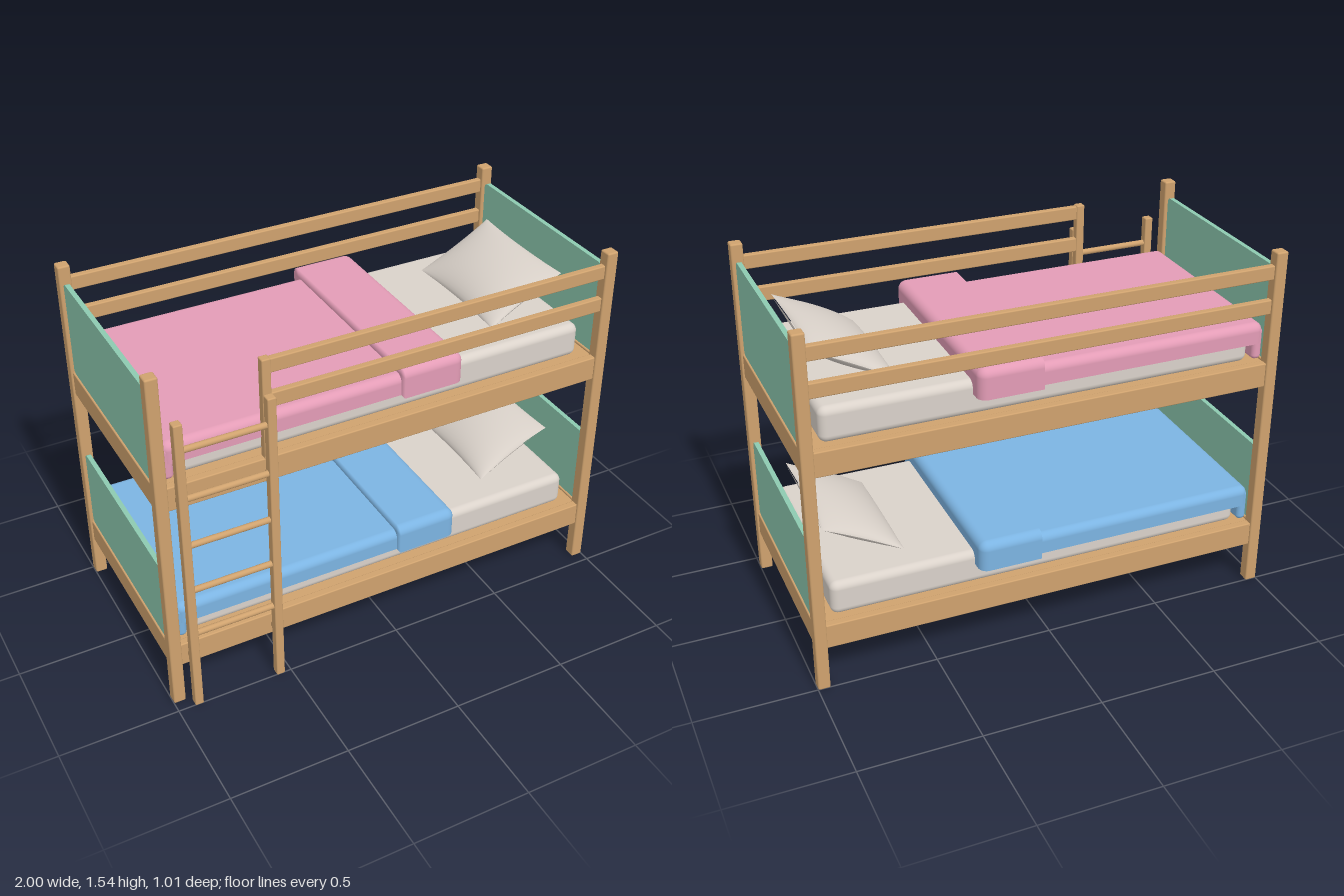
import * as THREE from 'three';
import { RoundedBoxGeometry } from 'three/addons/geometries/RoundedBoxGeometry.js';

const FRONT = 0.43, BACK = -0.48, END = 0.9745, MID = -0.025, LEVEL = 0.77;

const material = (name, color) => {
  const m = new THREE.MeshStandardMaterial({ color });
  m.name = name;
  return m;
};

export function createModel() {
  const wood = material('wood', 0xcfa26e);
  const green = material('panel green', 0x8dcab0);
  const linen = material('linen', 0xdad2ca);
  const pink = material('pink fabric', 0xe39cb6);
  const blue = material('blue fabric', 0x7cb4e2);
  const model = new THREE.Group();
  model.name = 'bunkBed';

  const add = (parent, name, geometry, mat) => {
    const mesh = new THREE.Mesh(geometry, mat);
    mesh.name = name;
    parent.add(mesh);
    return mesh;
  };

  // Softly rounded block between two corners
  const block = (parent, name, mat, a, b, r = 0.005, segments = 2) => {
    const size = b.map((v, i) => v - a[i]);
    const mesh = add(parent, name, new RoundedBoxGeometry(...size, segments, r), mat);
    mesh.position.set(...a.map((v, i) => (v + b[i]) / 2));
    return mesh;
  };

  // Cloth block with rounded upper edges and a flat underside; cutX also squares its -x end
  const drape = (parent, name, mat, a, b, r, cutX) => {
    const low = [cutX ? a[0] - 2 * r : a[0], a[1] - 2 * r, a[2]];
    const mesh = block(parent, name, mat, low, b, r, 5);
    const p = mesh.geometry.attributes.position;
    for (let i = 0; i < p.count; i++) {
      p.setY(i, Math.max(p.getY(i), a[1] - mesh.position.y));
      if (cutX) p.setX(i, Math.max(p.getX(i), a[0] - mesh.position.x));
    }
    return mesh;
  };

  // Cushion: a closed pair of bulging sheets with drawn-out corners
  const pillowGeometry = () => {
    const n = 20, halfX = 0.184, halfZ = 0.279, halfY = 0.058;
    const points = [], index = [];
    for (const s of [1, -1]) {
      const start = points.length / 3;
      for (let j = 0; j <= n; j++) for (let i = 0; i <= n; i++) {
        const u = -Math.cos(Math.PI * i / n), v = -Math.cos(Math.PI * j / n);
        const x = halfX * u * (1 - 0.045 * (1 - v * v));
        const z = halfZ * v * (1 - 0.05 * (1 - u * u));
        const bulge = Math.pow(Math.max(0, (1 - u * u) * (1 - v * v)), 0.58);
        points.push(x, s * (halfY * bulge + 0.002), z);
      }
      for (let j = 0; j < n; j++) for (let i = 0; i < n; i++) {
        const a = start + j * (n + 1) + i, b = a + 1, c = a + n + 1, d = c + 1;
        if (s > 0) index.push(a, c, b, b, c, d);
        else index.push(a, b, c, b, d, c);
      }
    }
    const g = new THREE.BufferGeometry();
    g.setAttribute('position', new THREE.Float32BufferAttribute(points, 3));
    g.setIndex(index);
    g.computeVertexNormals();
    return g;
  };

  // Corner posts
  for (const x of [-END, END]) for (const z of [FRONT, BACK])
    block(model, 'cornerPost', wood, [x - 0.0255, 0, z - 0.0255], [x + 0.0255, 1.545, z + 0.0255], 0.007);

  // One bed: frame, end panels, mattress and bedding
  const bed = (name, y, panelHeight, fabric) => {
    const g = new THREE.Group();
    g.name = name;
    g.position.y = y;
    model.add(g);
    for (const z of [FRONT, BACK])
      block(g, 'sideRail', wood, [-0.96, 0.187, z - 0.017], [0.96, 0.293, z + 0.017]);
    for (const x of [-END, END]) {
      block(g, 'endRail', wood, [x - 0.017, 0.187, BACK + 0.02], [x + 0.017, 0.293, FRONT - 0.02]);

      // End panel with small rounded corners
      const w = 0.429, h = panelHeight / 2, r = 0.02;
      const shape = new THREE.Shape();
      shape.absarc(w - r, h - r, r, 0, Math.PI / 2);
      shape.absarc(-w + r, h - r, r, Math.PI / 2, Math.PI);
      shape.absarc(-w + r, -h + r, r, Math.PI, Math.PI * 1.5);
      shape.absarc(w - r, -h + r, r, Math.PI * 1.5, Math.PI * 2);
      const panel = new THREE.ExtrudeGeometry(shape, { depth: 0.02, bevelEnabled: false, curveSegments: 5 });
      panel.translate(0, 0, -0.01).rotateY(Math.PI / 2);
      add(g, 'endPanel', panel, green).position.set(x, 0.294 + h, MID);
    }
    block(g, 'bedBase', wood, [-0.962, 0.235, BACK + 0.012], [0.962, 0.284, FRONT - 0.012]);
    block(g, 'mattress', linen, [-0.9, 0.283, -0.435], [0.905, 0.43, 0.381], 0.032, 5);
    drape(g, 'blanket', fabric, [-0.945, 0.375, -0.47], [0.29, 0.462, 0.42], 0.034, false);
    block(g, 'blanketFoot', fabric, [-0.945, 0.302, -0.465], [-0.903, 0.44, 0.415], 0.018, 4);
    drape(g, 'blanketFold', fabric, [0.04, 0.376, -0.505], [0.305, 0.502, 0.45], 0.037, true);
    const pillow = add(g, 'pillow', pillowGeometry(), linen);
    pillow.position.set(0.725, 0.522, -0.03);
    pillow.rotation.z = 0.48;
  };
  bed('lowerBed', 0, 0.36, blue);
  bed('upperBed', LEVEL, 0.41, pink);

  // Guard rails: full length at the back, open beside the ladder at the front
  for (const [low, high] of [[1.28, 1.342], [1.428, 1.488]]) {
    block(model, 'backGuardRail', wood, [-0.96, low, BACK - 0.014], [0.96, high, BACK + 0.014]);
    block(model, 'frontGuardRail', wood, [-0.54, low, FRONT - 0.014], [0.96, high, FRONT + 0.014]);
  }
  block(model, 'guardPost', wood, [-0.557, 1.01, FRONT - 0.018], [-0.521, 1.492, FRONT + 0.018]);

  // Ladder
  const ladder = new THREE.Group();
  ladder.name = 'ladder';
  model.add(ladder);
  for (const x of [-0.91, -0.547]) {
    block(ladder, 'ladderStile', wood, [x - 0.018, 0, 0.467], [x + 0.018, 1.362, 0.505]);
    for (const y of [0.24, 1.005])
      block(ladder, 'ladderBracket', wood, [x - 0.012, y - 0.012, 0.44], [x + 0.012, y + 0.012, 0.475], 0.002);
  }
  for (let i = 0; i < 5; i++) {
    const rung = add(ladder, 'rung', new THREE.CylinderGeometry(0.013, 0.013, 0.36, 16), wood);
    rung.rotation.z = Math.PI / 2;
    rung.position.set(-0.7285, 0.368 + i * 0.2185, 0.486);
  }
  return model;
}
